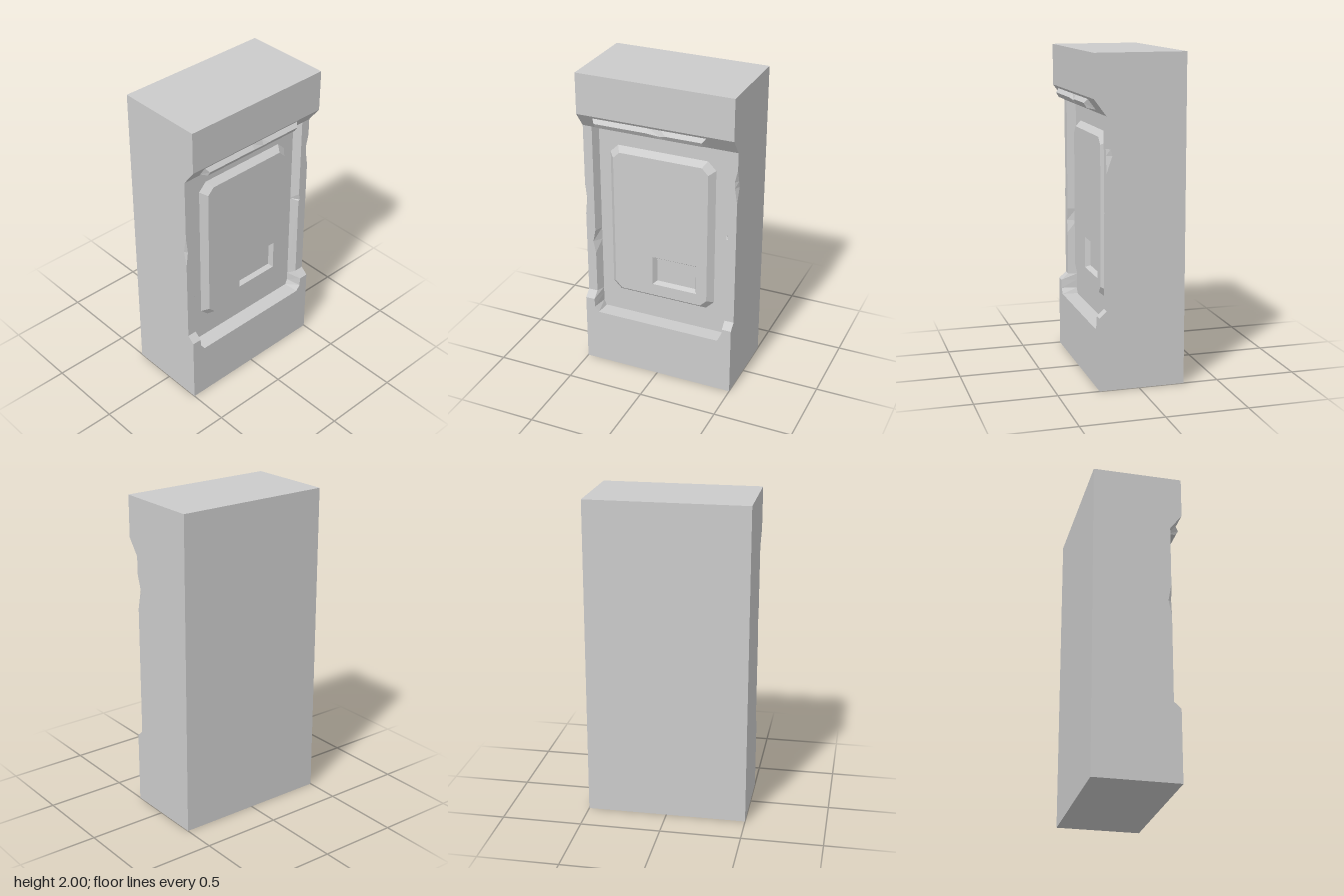
import * as THREE from 'three';

const material = new THREE.MeshStandardMaterial({ color: 0xcccccc, flatShading: true });
const FLOOR = 0.145; // depth of the recessed field
const FACE = 0.185;  // front of the raised panel

function add(group, name, geometry) {
  const mesh = new THREE.Mesh(geometry, material);
  mesh.name = name;
  group.add(mesh);
  return mesh;
}

function box(group, name, w, y0, y1, z0, z1) {
  add(group, name, new THREE.BoxGeometry(w, y1 - y0, z1 - z0))
    .position.set(0, (y0 + y1) / 2, (z0 + z1) / 2);
}

// Skin closed rings of points; rings run counter-clockwise about the travel direction.
function loft(rings, capStart = false, capEnd = false) {
  const n = rings[0].length;
  const pos = [];
  const tri = (a, b, c) => pos.push(...a, ...b, ...c);
  for (let r = 0; r + 1 < rings.length; r++) {
    const a = rings[r], b = rings[r + 1];
    for (let i = 0; i < n; i++) {
      const j = (i + 1) % n;
      tri(a[i], a[j], b[j]);
      tri(a[i], b[j], b[i]);
    }
  }
  const first = rings[0], last = rings[rings.length - 1];
  for (let i = 1; i + 1 < n; i++) {
    if (capStart) tri(first[0], first[i + 1], first[i]);
    if (capEnd) tri(last[0], last[i], last[i + 1]);
  }
  const g = new THREE.BufferGeometry();
  g.setAttribute('position', new THREE.Float32BufferAttribute(pos, 3));
  g.computeVertexNormals();
  return g;
}

// Rectangle with cut corners, counter-clockwise seen from the front
const octagon = (x, y0, y1, c) => [
  [x - c, y0], [x, y0 + c], [x, y1 - c], [x - c, y1],
  [c - x, y1], [-x, y1 - c], [-x, y0 + c], [c - x, y0],
];
const rect = (x0, x1, y0, y1) => [[x0, y0], [x1, y0], [x1, y1], [x0, y1]];
const atZ = (points, z) => points.map(([x, y]) => [x, y, z]);
const toVectors = (points) => points.map(([x, y]) => new THREE.Vector2(x, y));

// Side post from rows of [y, inner x at floor, inner x at front, front z, chip width, chip depth]
function jamb(rows, side) {
  return loft(rows.map(([y, xf, xr, z, c, d]) => {
    const ring = [[xf, FLOOR], [xr, z], [0.5 - c, z], [0.5, z - d], [0.5, FLOOR]]
      .map(([x, zz]) => [x * side, y, zz]);
    return side > 0 ? ring : ring.reverse();
  }));
}

export function createModel() {
  const model = new THREE.Group();
  model.name = 'wallPanelBlock';

  // Main block and lower plinth
  box(model, 'core', 1, 0, 2, -0.283, FLOOR);
  box(model, 'plinth', 1, 0, 0.36, FLOOR, 0.245);

  // Overhanging header with sloped underside
  const header = [[1.625, FLOOR], [2, FLOOR], [2, 0.275], [1.74, 0.275], [1.64, 0.2]];
  add(model, 'header', loft([-0.5, 0.5].map((x) => header.map(([y, z]) => [x, y, z])), true, true));

  // Side posts with stepped foot and chipped edges
  const foot = [
    [0.36, 0.405, 0.41, 0.245, 0, 0],
    [0.395, 0.42, 0.437, 0.245, 0, 0],
    [0.45, 0.42, 0.44, 0.245, 0, 0],
    [0.49, 0.42, 0.44, 0.2, 0, 0],
  ];
  const top = [1.64, 0.42, 0.44, 0.2, 0, 0];
  add(model, 'leftPost', jamb([
    ...foot,
    [1.06, 0.42, 0.438, 0.2, 0, 0],
    [1.065, 0.42, 0.45, 0.2, 0, 0],
    [1.11, 0.42, 0.44, 0.2, 0, 0],
    [1.31, 0.42, 0.44, 0.2, 0, 0],
    [1.41, 0.42, 0.44, 0.2, 0.016, 0.034],
    [1.45, 0.42, 0.44, 0.2, 0.018, 0.024],
    [1.53, 0.42, 0.44, 0.2, 0, 0],
    top,
  ], 1));
  add(model, 'rightPost', jamb([
    ...foot,
    [0.77, 0.42, 0.44, 0.2, 0, 0],
    [0.85, 0.42, 0.456, 0.2, 0, 0],
    [0.93, 0.42, 0.44, 0.2, 0, 0],
    [1.04, 0.42, 0.44, 0.2, 0, 0],
    [1.14, 0.42, 0.44, 0.2, 0.013, 0.02],
    [1.25, 0.42, 0.44, 0.2, 0, 0],
    top,
  ], -1));

  // Raised bevelled panel with a window cut in its face
  const panel = new THREE.Group();
  panel.name = 'raisedPanel';
  model.add(panel);
  const inner = octagon(0.31, 0.547, 1.493, 0.042);
  add(panel, 'panelBevel', loft([atZ(octagon(0.345, 0.515, 1.525, 0.052), FLOOR), atZ(inner, FACE)]));
  const windowRim = rect(-0.055, 0.24, 0.625, 0.82);
  const face = new THREE.Shape(toVectors(inner));
  face.holes.push(new THREE.Path(toVectors(windowRim)));
  add(panel, 'panelFace', new THREE.ShapeGeometry(face)).position.z = FACE;

  // Sunken window: sloped sides and floor
  const pocketFloor = rect(-0.035, 0.226, 0.64, 0.8);
  add(panel, 'windowSides', loft([atZ(windowRim, FACE), atZ(pocketFloor, 0.155)]));
  add(panel, 'windowFloor', new THREE.ShapeGeometry(new THREE.Shape(toVectors(pocketFloor)))).position.z = 0.155;

  // Bar under the header, tapered at the ends and nicked on its front edge
  const barRing = (xBase, xFront, nick = 0) => [
    [xBase, 1.66, 0.212], [xBase, 1.725, 0.262],
    [xFront, 1.7 - nick, 0.284 - nick * 0.8], [xFront, 1.67, 0.266],
  ];
  add(model, 'headerBar', loft([
    barRing(-0.4, -0.382), barRing(-0.04, -0.04), barRing(0.04, 0.04, 0.01),
    barRing(0.08, 0.08), barRing(0.325, 0.308),
  ], true, true));

  return model;
}
